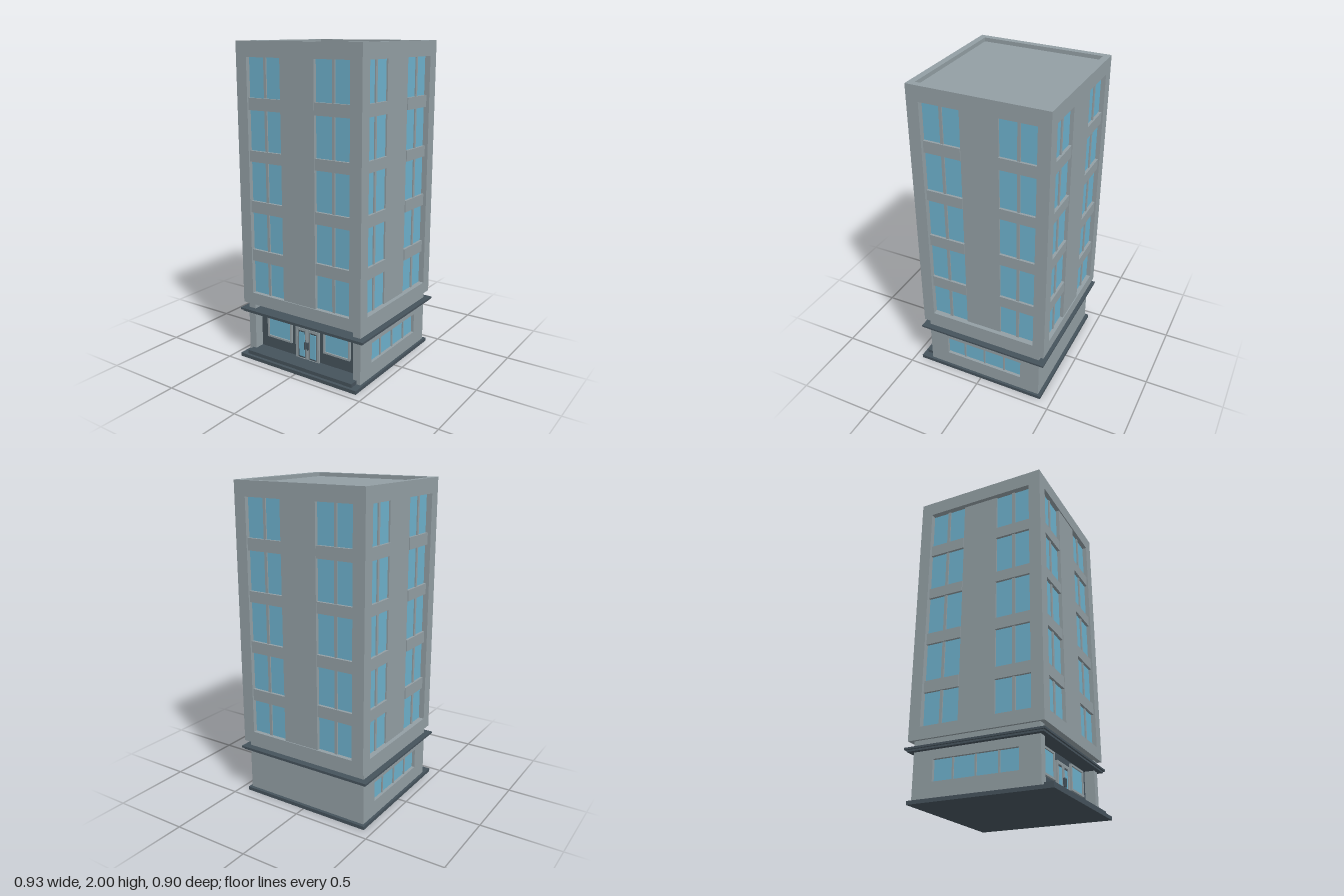
import * as THREE from 'three';

const mat = (name, color) => {
  const m = new THREE.MeshStandardMaterial({ color });
  m.name = name;
  return m;
};

export function createModel() {
  const wall = mat('grey concrete', 0x929ea3);
  const dark = mat('dark slate', 0x45525b);
  const glass = mat('blue glass', 0x6db0cb);
  const model = new THREE.Group();
  model.name = 'officeTower';

  // Box given by its extents on each axis
  function box(parent, name, material, [x0, x1], [y0, y1], [z0, z1]) {
    const mesh = new THREE.Mesh(new THREE.BoxGeometry(x1 - x0, y1 - y0, z1 - z0), material);
    mesh.position.set((x0 + x1) / 2, (y0 + y1) / 2, (z0 + z1) / 2);
    mesh.name = name;
    parent.add(mesh);
    return mesh;
  }

  // Upright sheet with one rectangular opening; its outer face lies on z = 0
  function frame(parent, name, material, [x0, x1], [y0, y1], [hx0, hx1], [hy0, hy1], depth) {
    const path = (p, a, b, c, d) => p.moveTo(a, c).lineTo(b, c).lineTo(b, d).lineTo(a, d).closePath();
    const shape = new THREE.Shape();
    path(shape, x0, x1, y0, y1);
    const hole = new THREE.Path();
    path(hole, hx0, hx1, hy0, hy1);
    shape.holes.push(hole);
    const mesh = new THREE.Mesh(new THREE.ExtrudeGeometry(shape, { depth, bevelEnabled: false }), material);
    mesh.position.z = -depth;
    mesh.name = name;
    parent.add(mesh);
    return mesh;
  }

  // Group whose local +z points out of a facade
  function side(name, x, z, angle) {
    const g = new THREE.Group();
    g.name = name;
    g.position.set(x, 0, z);
    g.rotation.y = angle;
    model.add(g);
    return g;
  }

  const T = 0.04; // facade thickness
  const X = 0.443, ZF = 0.405, ZB = -0.443, ZC = (ZF + ZB) / 2;
  const Y0 = 0.363, sill = 0.44, head = 1.907;
  const spandrels = [[0.654, 0.728], [0.967, 1.04], [1.285, 1.353], [1.597, 1.67]];

  // Tower core, its top is the sunken roof
  box(model, 'towerCore', wall, [-X + T, X - T], [Y0, 1.976], [ZB + T, ZF - T]);

  // One upper facade: frame, central pier, glass, mullions and spandrels
  function facade(g, half, panel, pier, pierD, spanD, glassD) {
    frame(g, 'facadeFrame', wall, [-half, half], [Y0, 2], [-panel, panel], [sill, head], T);
    box(g, 'centralPier', wall, [-pier, pier], [sill, head], [-T, -pierD]);
    for (const s of [-1, 1]) {
      const span = s < 0 ? [-panel, -pier] : [pier, panel];
      const mid = (span[0] + span[1]) / 2;
      box(g, 'windowGlass', glass, span, [sill, head], [-T, -glassD]);
      box(g, 'mullion', wall, [mid - 0.009, mid + 0.009], [sill, head], [-T, -glassD + 0.008]);
      for (const ys of spandrels) box(g, 'spandrel', wall, span, ys, [-T, -spanD]);
    }
  }
  facade(side('frontFacade', 0, ZF, 0), X, 0.365, 0.12, 0.006, 0.01, 0.028);
  facade(side('backFacade', 0, ZB, Math.PI), X, 0.365, 0.12, 0.006, 0.01, 0.028);
  for (const s of [-1, 1]) {
    const g = side(s > 0 ? 'leftFacade' : 'rightFacade', s * X, ZC, s * Math.PI / 2);
    facade(g, (ZF - ZB) / 2 - T, 0.349, 0.116, 0.026, 0.02, 0.036);
  }

  // Ground floor side walls with a four-pane window
  const GX = 0.427, GF = 0.376, GB = -0.407, GC = (GF + GB) / 2, GH = (GF - GB) / 2;
  for (const s of [-1, 1]) {
    const g = side(s > 0 ? 'leftGroundWall' : 'rightGroundWall', s * GX, GC, s * Math.PI / 2);
    frame(g, 'sideWall', wall, [-GH, GH], [0.02, Y0], [-0.264, 0.264], [0.116, 0.243], 0.052);
    box(g, 'sideGlass', glass, [-0.264, 0.264], [0.116, 0.243], [-0.04, -0.02]);
    for (const x of [-0.142, 0, 0.142])
      box(g, 'sideMullion', wall, [x - 0.005, x + 0.005], [0.116, 0.243], [-0.03, -0.012]);
  }
  box(model, 'backGroundWall', wall, [-0.375, 0.375], [0.02, Y0], [GB, GB + 0.05]);

  // Recessed dark entrance front
  const EZ = 0.312;
  box(model, 'entranceWall', dark, [-0.375, 0.375], [0.02, Y0], [EZ - 0.05, EZ]);
  const entrance = side('entrance', 0, EZ + 0.014, 0);
  for (const s of [-1, 1]) {
    const range = (a, b) => (s > 0 ? [a, b] : [-b, -a]);
    // Shop window
    frame(entrance, 'shopWindowFrame', wall, range(0.122, 0.318), [0.124, 0.284],
      range(0.135, 0.306), [0.136, 0.272], 0.014);
    box(entrance, 'shopGlass', glass, range(0.135, 0.306), [0.136, 0.272], [-0.014, -0.008]);
    // Door leaf
    frame(entrance, 'doorFrame', wall, range(0.003, 0.09), [0.045, 0.25],
      range(0.014, 0.073), [0.046, 0.232], 0.014);
    box(entrance, 'doorLeaf', dark, range(0.014, 0.073), [0.046, 0.232], [-0.014, -0.006]);
    box(entrance, 'doorGlass', glass, range(0.022, 0.064), [0.058, 0.22], [-0.006, -0.002]);
    box(entrance, 'doorHandle', dark, range(0.006, 0.014), [0.115, 0.165], [0, 0.012]);
  }

  // Canopy band in two steps
  box(model, 'canopyLower', dark, [-0.455, 0.455], [0.297, 0.308], [-0.439, 0.405]);
  box(model, 'canopyUpper', dark, [-0.466, 0.466], [0.308, 0.32], [-0.45, 0.416]);

  // Base slab and entrance step
  box(model, 'baseSlab', dark, [-X, X], [0, 0.022], [-0.428, 0.45]);
  box(model, 'entranceStep', dark, [-0.375, 0.375], [0.022, 0.045], [0.28, GF]);
  box(model, 'frontStep', dark, [-0.4, 0.4], [0.022, 0.045], [GF, 0.43]);

  return model;
}
